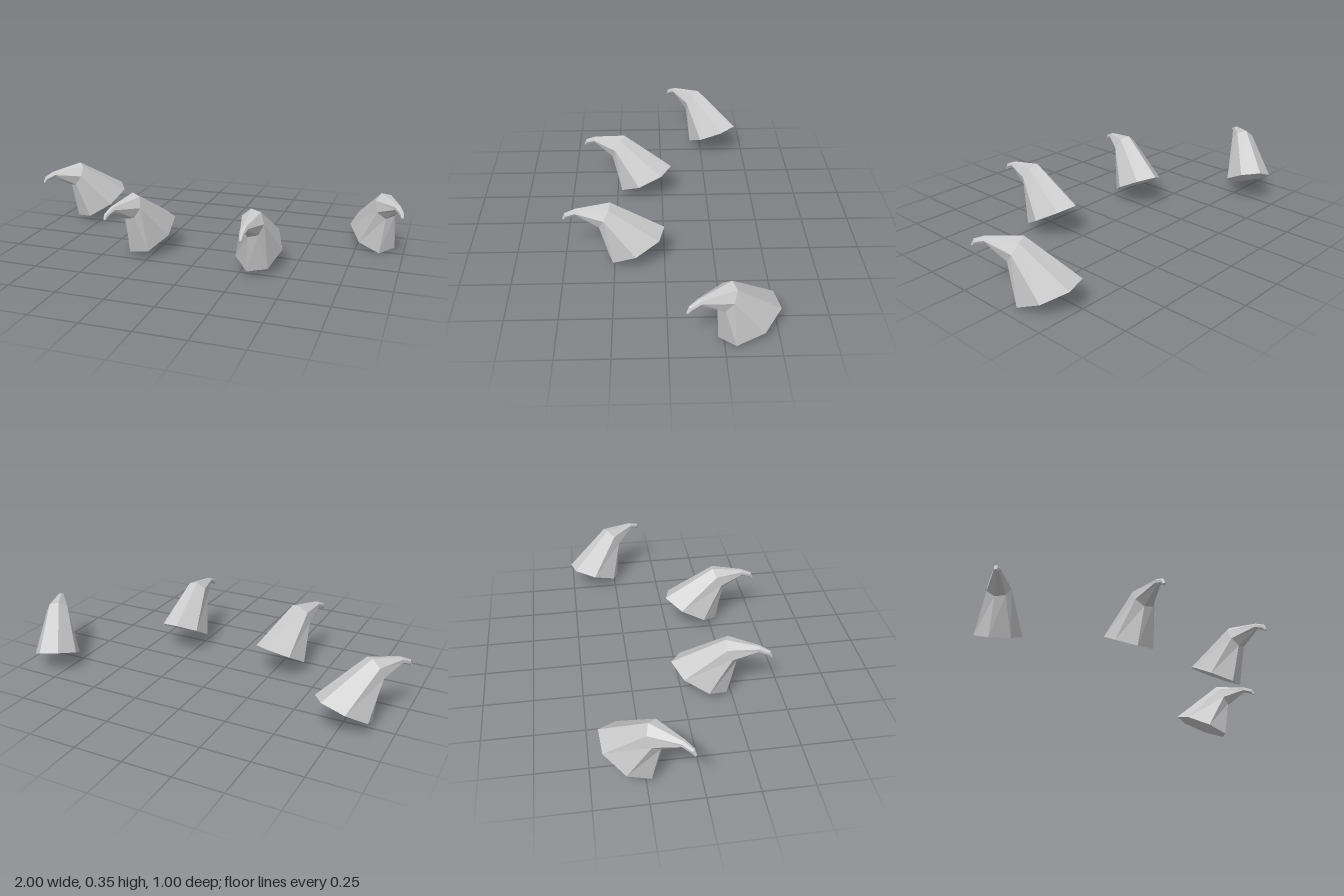
import * as THREE from 'three';

const SIDES = 7;

// Claw cross-sections from base to tip: centre (y, z), half width, and the ring's up axis (y, z)
const RINGS = [
  { c: [0, 0], w: 0.118, up: [0.082, -0.146] },
  { c: [0.178, 0.152], w: 0.06, up: [0.064, -0.031] },
  { c: [0.196, 0.29], w: 0.018, up: [0.017, 0.001] },
  { c: [0.177, 0.337], w: 0.012, up: [0.012, 0.006] },
  { c: [0.157, 0.349], w: 0.006, up: [0.003, 0.006] },
];

// Hooked claw lofted through the rings, closed at both ends
function clawGeometry() {
  const positions = [];
  for (const { c, w, up } of RINGS) {
    for (let k = 0; k < SIDES; k++) {
      const a = (k / SIDES) * Math.PI * 2;
      const s = Math.sin(a);
      positions.push(w * Math.cos(a), c[0] + up[0] * s, c[1] + up[1] * s);
    }
  }
  const index = [];
  for (let i = 0; i < RINGS.length - 1; i++) {
    for (let k = 0; k < SIDES; k++) {
      const n = (k + 1) % SIDES;
      const a = i * SIDES + k, b = i * SIDES + n;
      const d = a + SIDES, e = b + SIDES;
      index.push(a, b, e, a, e, d);
    }
  }
  // End caps
  const last = (RINGS.length - 1) * SIDES;
  for (let k = 1; k < SIDES - 1; k++) {
    index.push(0, k + 1, k);
    index.push(last, last + k, last + k + 1);
  }
  const indexed = new THREE.BufferGeometry();
  indexed.setAttribute('position', new THREE.Float32BufferAttribute(positions, 3));
  indexed.setIndex(index);
  const geometry = indexed.toNonIndexed();
  geometry.computeVertexNormals();
  return geometry;
}

// Base centre, yaw and pitch of each claw, fanned out in an arc
const CLAWS = [
  { name: 'outerRightClaw', at: [-0.769, 0.109, -0.319], yaw: -40, pitch: 0 },
  { name: 'innerRightClaw', at: [-0.284, 0.105, 0.093], yaw: -17.5, pitch: 0 },
  { name: 'innerLeftClaw', at: [0.322, 0.105, 0.143], yaw: 0, pitch: 0 },
  { name: 'outerLeftClaw', at: [0.826, 0.069, -0.367], yaw: 30, pitch: -5 },
];

export function createModel() {
  const model = new THREE.Group();
  model.name = 'claws';
  const material = new THREE.MeshStandardMaterial({ color: 0xcccccc, flatShading: true });
  const geometry = clawGeometry();
  for (const { name, at, yaw, pitch } of CLAWS) {
    const claw = new THREE.Mesh(geometry, material);
    claw.name = name;
    claw.position.set(...at);
    claw.rotation.set(THREE.MathUtils.degToRad(pitch), THREE.MathUtils.degToRad(yaw), 0, 'YXZ');
    model.add(claw);
  }
  return model;
}
